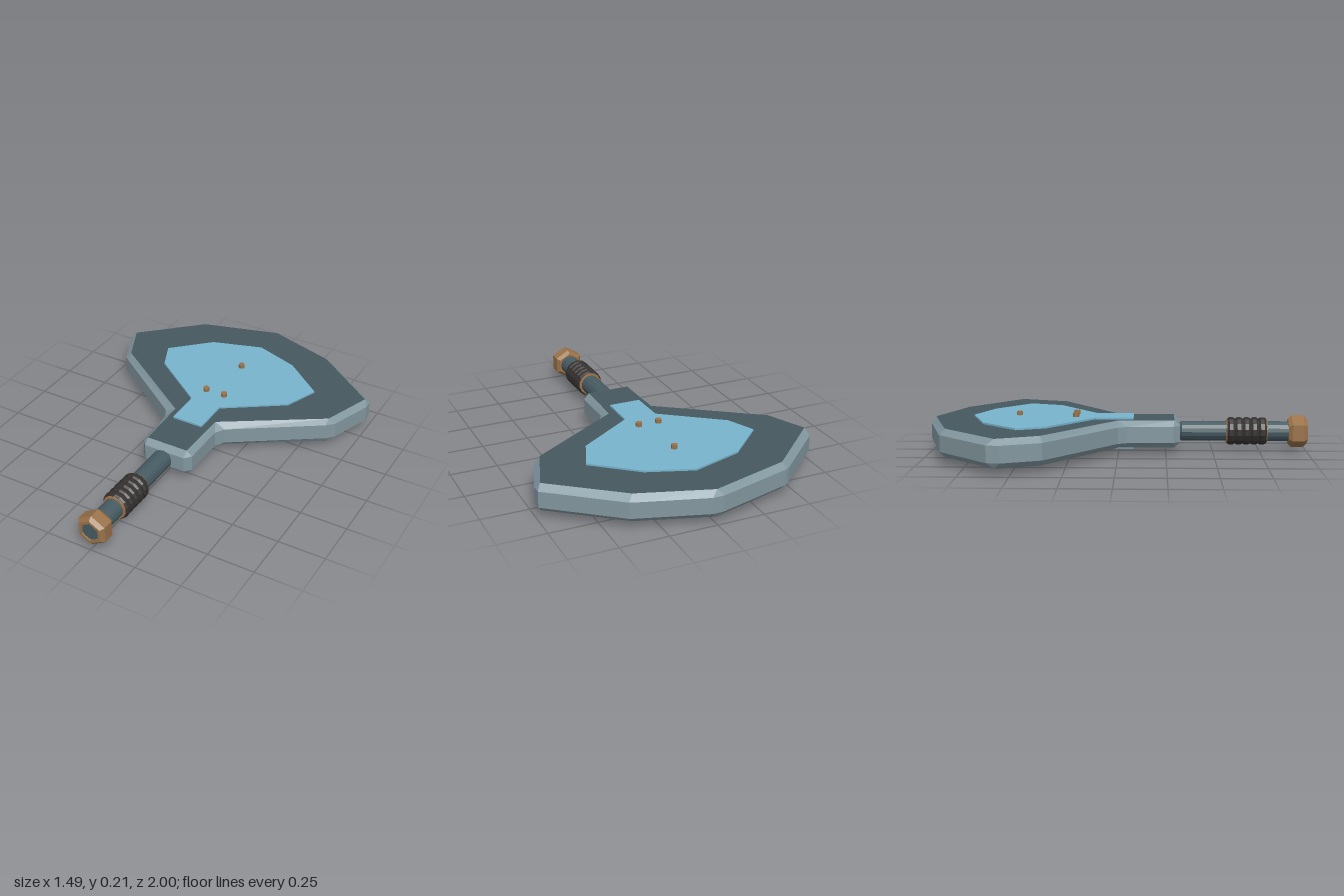
import * as THREE from 'three';

const mat = (name, color) => {
  const m = new THREE.MeshStandardMaterial({ color, flatShading: true });
  m.name = name;
  return m;
};

// Body corners, clockwise from above: face x, z, then the two bevel points outside it
const BODY = [
  [0, -0.98, -0.03, -1, 0.03, -1],
  [0.375, -0.86, 0.37, -0.895, 0.4, -0.885],
  [0.725, -0.59, 0.745, -0.615, 0.745, -0.565],
  [0.63, -0.325, 0.665, -0.34, 0.625, -0.3],
  [0.125, 0, 0.18, 0, 0.15, 0.05],
  [0.12, 0.295, 0.15, 0.29, 0.12, 0.325],
  [-0.11, 0.295, -0.11, 0.325, -0.14, 0.29],
  [-0.12, 0, -0.155, 0.05, -0.18, 0],
  [-0.63, -0.36, -0.64, -0.335, -0.66, -0.35],
  [-0.725, -0.57, -0.747, -0.545, -0.735, -0.61],
  [-0.42, -0.86, -0.445, -0.88, -0.425, -0.89],
];
const PLATE = [
  [0, -0.775], [0.24, -0.69], [0.46, -0.51], [0.39, -0.33], [0.085, -0.12], [0.085, 0.08],
  [-0.085, 0.08], [-0.09, -0.12], [-0.4, -0.35], [-0.465, -0.5], [-0.27, -0.69],
];
const LOW = 0.035, HIGH = 0.18, BEVEL = 0.03, AXIS = 0.108;

const shapeOf = (pts, s) => new THREE.Shape(pts.map(([x, z]) => new THREE.Vector2(x, s * z)));

// Bevelled wall joining the lower and upper face
function rimGeometry() {
  const inner = BODY.flatMap(([x, z]) => [[x, z], [x, z]]);
  const outer = BODY.flatMap(([, , a, b, c, d]) => [[a, b], [c, d]]);
  const rings = [[inner, LOW], [outer, LOW + BEVEL], [outer, HIGH - BEVEL], [inner, HIGH]];
  const n = inner.length, pos = [];
  for (let r = 0; r < 3; r++) {
    for (let i = 0; i < n; i++) {
      const at = (k, j) => [rings[k][0][j % n][0], rings[k][1], rings[k][0][j % n][1]];
      const a = at(r, i), b = at(r, i + 1), c = at(r + 1, i), d = at(r + 1, i + 1);
      if (r !== 0 || i % 2) pos.push(...b, ...a, ...c);
      else pos.push(...a, ...c, ...d);
      if (r === 0 && i % 2 === 0) continue;
      if (r !== 2 || i % 2) pos.push(...b, ...c, ...d);
    }
  }
  const g = new THREE.BufferGeometry();
  g.setAttribute('position', new THREE.Float32BufferAttribute(pos, 3));
  g.computeVertexNormals();
  return g;
}

// Turned part along z from [radius, z] points
function turned(points, sides) {
  const g = new THREE.LatheGeometry(points.map(([r, z]) => new THREE.Vector2(r, z)), sides);
  return g.rotateX(Math.PI / 2).translate(0, AXIS, 0);
}

export function createModel() {
  const group = new THREE.Group();
  const rimMat = mat('light steel', 0x82979f);
  const faceMat = mat('dark steel', 0x46575f);
  const plateMat = mat('blue panel', 0x78b4cd);
  const rodMat = mat('rod steel', 0x465b62);
  const brass = mat('bronze', 0x9a7249);
  const gripMat = mat('grip black', 0x343130);
  const add = (name, geometry, material) => {
    const m = new THREE.Mesh(geometry, material);
    m.name = name;
    group.add(m);
    return m;
  };

  // Head: bevelled rim with a dark face on each side
  add('bodyRim', rimGeometry(), rimMat);
  const up = -Math.PI / 2;
  add('upperFace', new THREE.ShapeGeometry(shapeOf(BODY, -1)).rotateX(up).translate(0, HIGH, 0), faceMat);
  add('lowerFace', new THREE.ShapeGeometry(shapeOf(BODY, 1)).rotateX(-up).translate(0, LOW, 0), faceMat);

  // Thin inlay panels
  for (const [name, y] of [['upperPanel', HIGH], ['lowerPanel', LOW - 0.0095]]) {
    const g = new THREE.ExtrudeGeometry(shapeOf(PLATE, -1), { depth: 0.0095, bevelEnabled: false });
    add(name, g.rotateX(up).translate(0, y, 0), plateMat);
  }

  // Rivets passing through both panels
  for (const [x, z] of [[0, -0.53], [-0.057, -0.225], [0.053, -0.225]]) {
    add('rivet', new THREE.CylinderGeometry(0.017, 0.017, 0.21, 10).translate(x, 0.105, z), brass);
  }

  // Handle rod
  add('handleRod', turned([[0, 0.3], [0.046, 0.325], [0.053, 0.335], [0.053, 0.985], [0.047, 0.993], [0, 0.993]], 16), rodMat);

  // Ribbed grip over a bronze sleeve
  add('gripSleeve', turned([[0.05, 0.57], [0.064, 0.572], [0.066, 0.58], [0.066, 0.78], [0.064, 0.788], [0.05, 0.79]], 14), brass);
  for (let i = 0; i < 5; i++) {
    const z = 0.577 + i * 0.0412;
    add('gripRib', turned([[0.05, z], [0.067, z], [0.074, z + 0.011], [0.074, z + 0.03], [0.067, z + 0.041], [0.05, z + 0.041]], 14), gripMat);
  }

  // Hexagonal pommel nut with chamfered ends
  add('pommelNut', turned([[0.05, 0.9], [0.068, 0.9], [0.086, 0.92], [0.086, 0.98], [0.068, 1], [0.052, 1], [0.05, 0.985]], 6), brass);

  return group;
}
